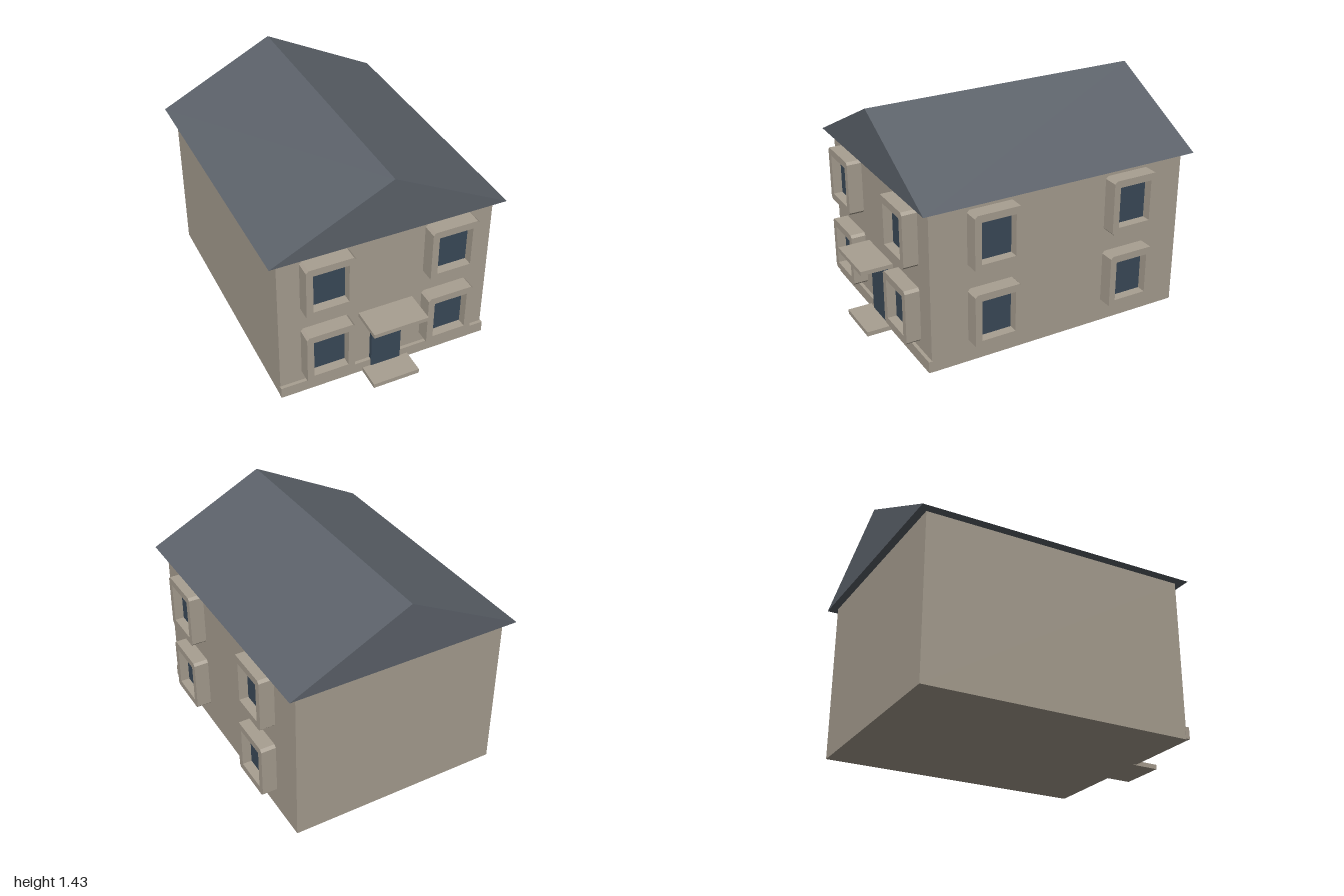
import * as THREE from 'three';

export function createModel() {
  const house = new THREE.Group();
  house.name = 'house';
  const material = (name, color) => {
    const m = new THREE.MeshStandardMaterial({ color });
    m.name = name;
    return m;
  };
  const stone = material('stone', 0xa89f91);
  const slate = material('slate', 0x5c626a);
  const glass = material('darkGlass', 0x3a4958);

  const add = (parent, name, geometry, mat) => {
    const mesh = new THREE.Mesh(geometry, mat);
    mesh.name = name;
    parent.add(mesh);
    return mesh;
  };
  // Box given by its minimum and maximum corners
  const box = (parent, name, mat, [x0, y0, z0], [x1, y1, z1]) => {
    const mesh = add(parent, name, new THREE.BoxGeometry(x1 - x0, y1 - y0, z1 - z0), mat);
    mesh.position.set((x0 + x1) / 2, (y0 + y1) / 2, (z0 + z1) / 2);
    return mesh;
  };

  // Walls
  const front = 0.79, side = 0.675;
  box(house, 'walls', stone, [-0.715, 0, -0.95], [side, 1.05, front]);

  // Gable roof, a closed triangular prism
  const gable = new THREE.Shape([
    new THREE.Vector2(-0.775, 1.05),
    new THREE.Vector2(0.735, 1.05),
    new THREE.Vector2(-0.02, 1.43),
  ]);
  const roof = add(house, 'roof', new THREE.ExtrudeGeometry(gable, { depth: 1.845, bevelEnabled: false }), slate);
  roof.position.z = -1;

  // Entrance and plinth
  box(house, 'plinth', stone, [-0.718, 0.005, front - 0.005], [0.68, 0.08, 0.812]);
  box(house, 'door', glass, [-0.12, 0.03, front - 0.01], [0.08, 0.42, 0.817]);
  box(house, 'doorstep', stone, [-0.175, 0, front - 0.01], [0.135, 0.03, 0.97]);
  box(house, 'canopy', stone, [-0.2, 0.45, front - 0.01], [0.16, 0.477, 1]);

  // Window surround: chamfered outline with a rectangular opening
  const w = 0.155, h = 0.18, c = 0.016;
  const outline = new THREE.Shape([
    [-w + c, -h], [w - c, -h], [w, -h + c], [w, h - c],
    [w - c, h], [-w + c, h], [-w, h - c], [-w, -h + c],
  ].map(([x, y]) => new THREE.Vector2(x, y)));
  const ow = 0.112, oh = 0.133;
  outline.holes.push(new THREE.Path([
    [-ow, -oh], [-ow, oh], [ow, oh], [ow, -oh],
  ].map(([x, y]) => new THREE.Vector2(x, y))));
  const frameGeometry = new THREE.ExtrudeGeometry(outline, { depth: 0.095, bevelEnabled: false });
  const paneGeometry = new THREE.BoxGeometry(2 * ow, 2 * oh, 0.008);

  const addWindow = (name, x, y, z, turn) => {
    const unit = new THREE.Group();
    unit.name = name;
    add(unit, 'windowFrame', frameGeometry, stone);
    add(unit, 'windowPane', paneGeometry, glass).position.z = 0.032;
    unit.position.set(x, y, z);
    unit.rotation.y = turn;
    house.add(unit);
  };
  // Two storeys of windows on the front and on the left wall
  for (const y of [0.315, 0.82]) {
    for (const x of [-0.42, 0.38]) addWindow('frontWindow', x, y, front, 0);
    for (const z of [0.394, -0.547]) addWindow('sideWindow', side, y, z, Math.PI / 2);
  }
  return house;
}
